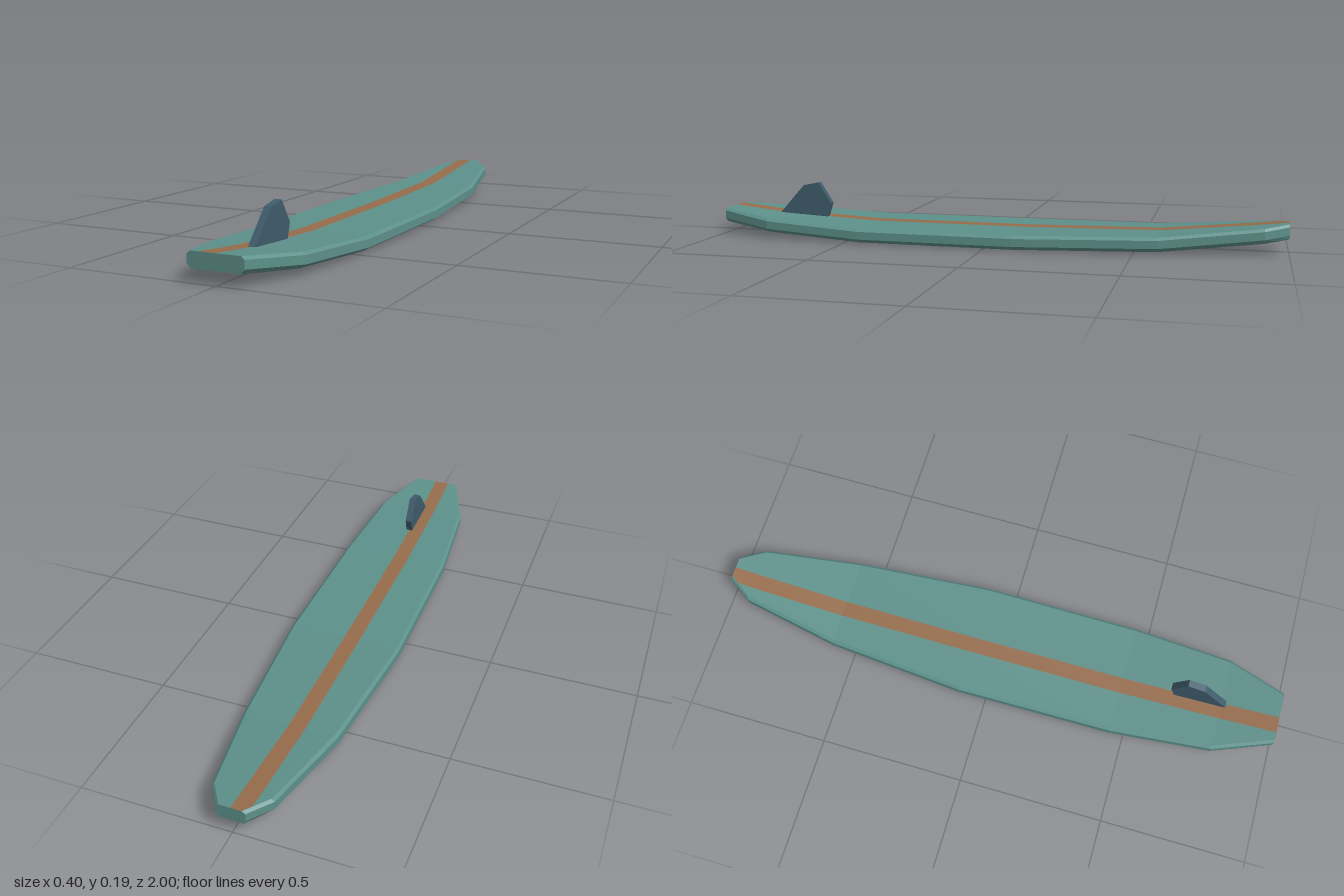
import * as THREE from 'three';

// Stations along the board: z, half width, underside height
const STATIONS = [
  [1, 0.092, 0.041], [0.8, 0.167, 0.02], [0.45, 0.196, 0.001], [-0.1, 0.2, 0],
  [-0.58, 0.161, 0.007], [-0.92, 0.1, 0.04], [-0.97, 0.066, 0.046], [-1, 0.046, 0.05],
];

// Bevelled cross-section, counter-clockwise from the front; extra points mark the stripe
function ring([z, w, y]) {
  const b = w - Math.min(0.024, w * 0.14), t = w - 0.01;
  const edge = (half) => Math.max(-0.055, -half + 0.002);
  return [
    [-b, 0], [edge(b), 0], [0, 0], [b, 0], [w, 0.014], [w, 0.041],
    [t, 0.05], [0, 0.05], [edge(t), 0.05], [-t, 0.05], [-w, 0.041], [-w, 0.014],
  ].map(([px, py]) => [px, y + py, z]);
}

function mesh(name, points, material) {
  const geometry = new THREE.BufferGeometry();
  geometry.setAttribute('position', new THREE.Float32BufferAttribute(points.flat(), 3));
  geometry.computeVertexNormals();
  const m = new THREE.Mesh(geometry, material);
  m.name = name;
  return m;
}

export function createModel() {
  const teal = new THREE.MeshStandardMaterial({ color: 0x5d908a, flatShading: true });
  teal.name = 'boardTeal';
  const brown = new THREE.MeshStandardMaterial({ color: 0x966c4b, flatShading: true });
  brown.name = 'stripeBrown';
  const blue = new THREE.MeshStandardMaterial({ color: 0x3f5c6c, flatShading: true });
  blue.name = 'finBlue';

  const group = new THREE.Group();
  group.name = 'surfboard';

  // Skin between neighbouring stations, split into board and stripe
  const rings = STATIONS.map(ring);
  const board = [], stripe = [];
  for (let s = 0; s < rings.length - 1; s++) {
    for (let i = 0; i < 12; i++) {
      const j = (i + 1) % 12;
      const a = rings[s][i], b = rings[s][j], c = rings[s + 1][j], d = rings[s + 1][i];
      (i === 1 || i === 7 ? stripe : board).push(a, d, b, b, d, c);
    }
  }

  // Flat ends
  const tail = rings[0], nose = rings[rings.length - 1];
  const centre = (r) => [0, r[0][1] + 0.025, r[0][2]];
  for (let i = 0; i < 12; i++) {
    const j = (i + 1) % 12;
    board.push(centre(tail), tail[i], tail[j], centre(nose), nose[j], nose[i]);
  }
  group.add(mesh('board', board, teal), mesh('stripe', stripe, brown));

  // Fin: side profile in (z, y), extruded across x
  const profile = [[0.82, 0.06], [0.815, 0.073], [0.725, 0.173], [0.665, 0.185], [0.618, 0.11], [0.637, 0.05]];
  const shape = new THREE.Shape(profile.map(([z, y]) => new THREE.Vector2(-z, y)));
  const finGeometry = new THREE.ExtrudeGeometry(shape, { depth: 0.024, bevelEnabled: false });
  finGeometry.translate(0, 0, -0.012).rotateY(Math.PI / 2);
  const fin = new THREE.Mesh(finGeometry, blue);
  fin.name = 'fin';
  group.add(fin);

  return group;
}
